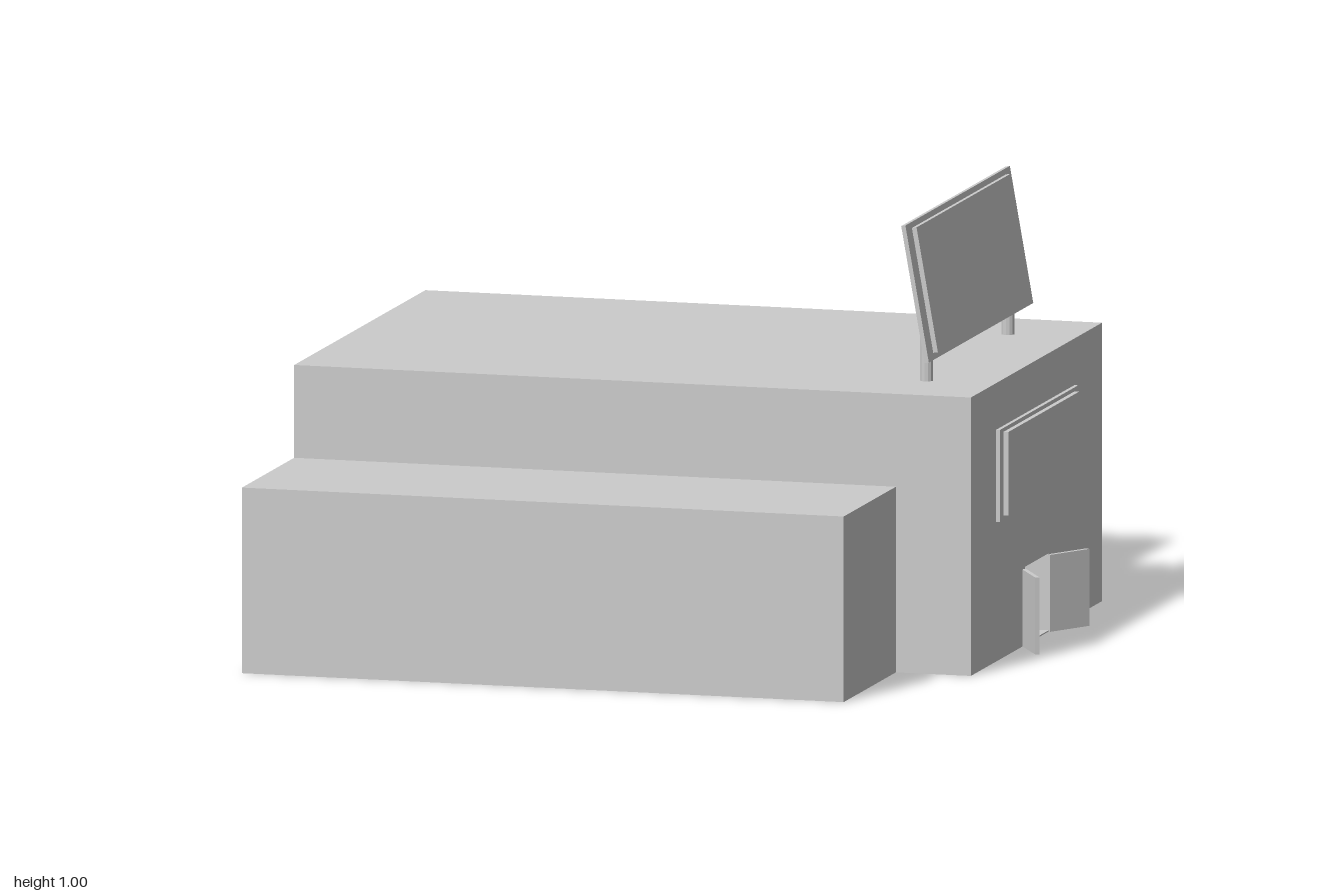
import * as THREE from 'three';

export function createModel() {
  const group = new THREE.Group();
  const mat = new THREE.MeshStandardMaterial({ color: 0xcccccc, flatShading: true });

  const add = (name, geometry, x, y, z, parent = group) => {
    const mesh = new THREE.Mesh(geometry, mat);
    mesh.name = name;
    mesh.position.set(x, y, z);
    parent.add(mesh);
    return mesh;
  };
  // Box given by its minimum and maximum corners
  const addBox = (name, [x0, y0, z0], [x1, y1, z1]) =>
    add(name, new THREE.BoxGeometry(x1 - x0, y1 - y0, z1 - z0),
      (x0 + x1) / 2, (y0 + y1) / 2, (z0 + z1) / 2);

  const midZ = 0.055;       // centre line of the entrance facade
  const wallX = 0.755;      // outer face of the facade
  const recess = 0.055;     // depth of the doorway
  const doorHalf = 0.1, doorTop = 0.178;

  // Tall central hall and the lower side wings
  addBox('hall', [-0.825, 0, -0.475], [wallX - recess, 0.633, 0.58]);
  addBox('rightWing', [-0.825, 0, 0.58], [0.58, 0.422, 1]);
  addBox('leftWing', [-0.825, 0, -1], [0.58, 0.422, -0.475]);

  // Facade slab with the doorway cut through it (shape x runs along -z)
  const wall = new THREE.Shape([[-0.58, 0], [0.475, 0], [0.475, 0.633], [-0.58, 0.633]]
    .map(([x, y]) => new THREE.Vector2(x, y)));
  const l = -midZ - doorHalf, r = -midZ + doorHalf;
  wall.holes.push(new THREE.Path([[l, 0.003], [l, doorTop], [r, doorTop], [r, 0.003]]
    .map(([x, y]) => new THREE.Vector2(x, y))));
  const facade = add('facade',
    new THREE.ExtrudeGeometry(wall, { depth: recess, bevelEnabled: false }),
    wallX - recess, 0, 0);
  facade.rotation.y = Math.PI / 2;

  // Open door leaves, hinged at both sides of the doorway
  const leafLength = 0.12, swing = 0.54;
  for (const side of [-1, 1]) {
    const hinge = new THREE.Group();
    hinge.name = side > 0 ? 'rightDoor' : 'leftDoor';
    hinge.position.set(wallX, 0, midZ + side * doorHalf);
    hinge.rotation.y = side * swing;
    group.add(hinge);
    add('doorLeaf', new THREE.BoxGeometry(0.01, 0.175, leafLength),
      0, 0.0875, side * leafLength / 2, hinge);
  }

  // Wall sign above the door: backing plate and raised panel
  addBox('wallSignFrame', [wallX - 0.005, 0.318, -0.252], [0.764, 0.527, 0.378]);
  addBox('wallSignPanel', [wallX, 0.328, -0.222], [0.775, 0.518, 0.347]);

  // Roof billboard leaning back on two posts
  const billboard = new THREE.Group();
  billboard.name = 'billboard';
  billboard.position.set(0.597, 0.845, 0.065);
  billboard.rotation.z = 0.175;
  group.add(billboard);
  add('billboardFrame', new THREE.BoxGeometry(0.01, 0.314, 0.84), 0, 0, 0, billboard);
  add('billboardPanel', new THREE.BoxGeometry(0.012, 0.286, 0.755), 0.01, 0.001, -0.002, billboard);
  for (const z of [-0.27, 0.385])
    add('billboardPost', new THREE.CylinderGeometry(0.015, 0.015, 0.11, 12), 0.595, 0.685, z);

  return group;
}
